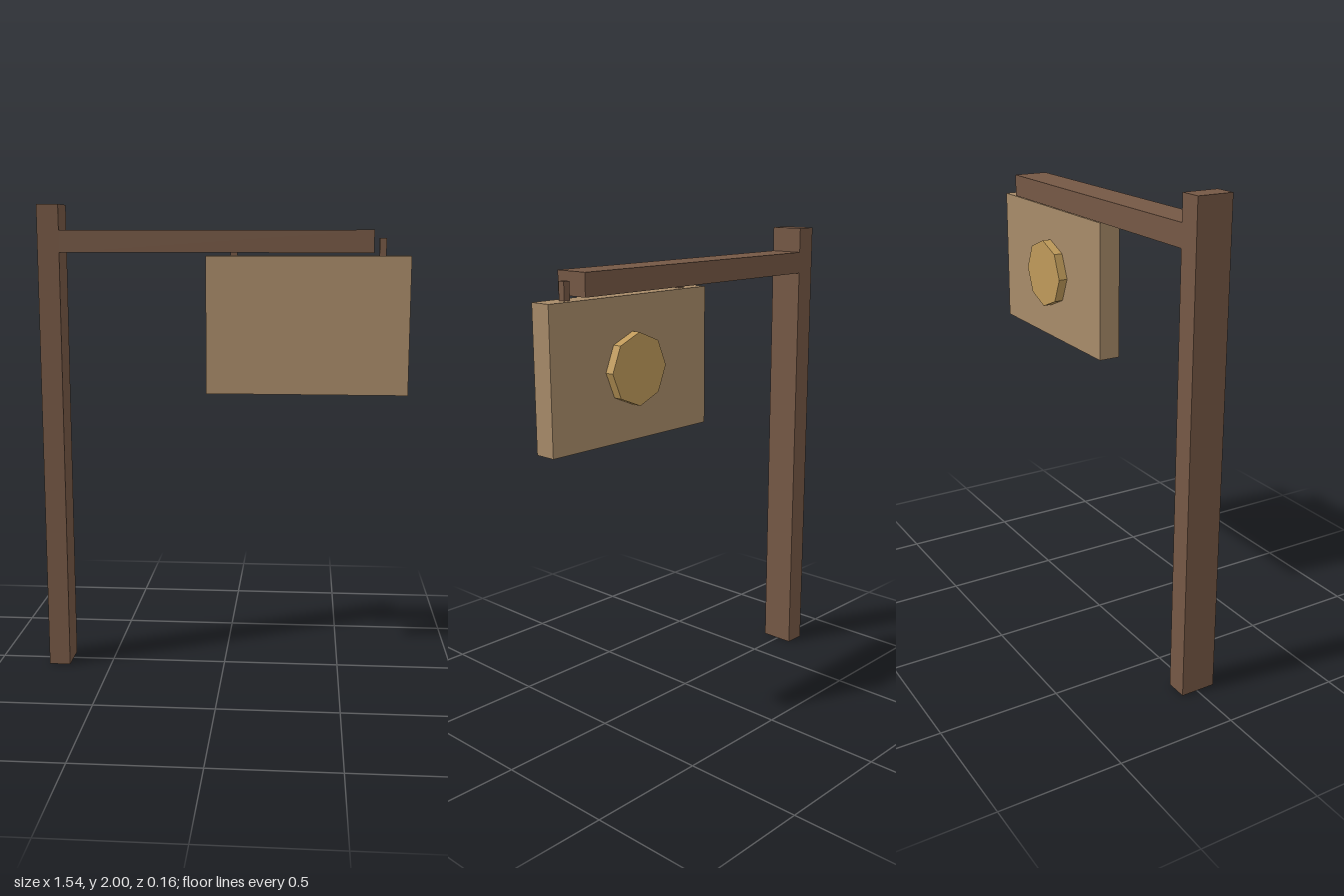
import * as THREE from 'three';

export function createModel() {
  const model = new THREE.Group();
  model.name = 'hangingSign';

  const material = (name, color) => {
    const m = new THREE.MeshStandardMaterial({ color, flatShading: true });
    m.name = name;
    return m;
  };
  const darkWood = material('darkWood', 0x755845);
  const lightWood = material('lightWood', 0xa88b69);
  const gold = material('gold', 0xbf9a5a);

  // Box given by its extents along each axis
  const box = (name, mat, [x0, x1], [y0, y1], [z0, z1]) => {
    const mesh = new THREE.Mesh(new THREE.BoxGeometry(x1 - x0, y1 - y0, z1 - z0), mat);
    mesh.position.set((x0 + x1) / 2, (y0 + y1) / 2, (z0 + z1) / 2);
    mesh.name = name;
    model.add(mesh);
  };

  // Upright post and horizontal arm
  const depth = [-0.07, 0.08];
  box('post', darkWood, [-0.773, -0.682], [0, 2], depth);
  box('arm', darkWood, [-0.682, 0.615], [1.803, 1.895], depth);

  // Hanging board with its two pegs
  box('board', lightWood, [-0.075, 0.77], [1.215, 1.79], [-0.042, 0.05]);
  for (const x of [0.04, 0.655]) {
    box('peg', darkWood, [x - 0.014, x + 0.014], [1.79, 1.862], [-0.014, 0.015]);
  }

  // Octagonal medallion on the back of the board
  const disc = new THREE.Mesh(new THREE.CylinderGeometry(0.146, 0.146, 0.04, 8), gold);
  disc.rotation.x = Math.PI / 2;
  disc.position.set(0.347, 1.503, -0.06);
  disc.name = 'medallion';
  model.add(disc);

  return model;
}
